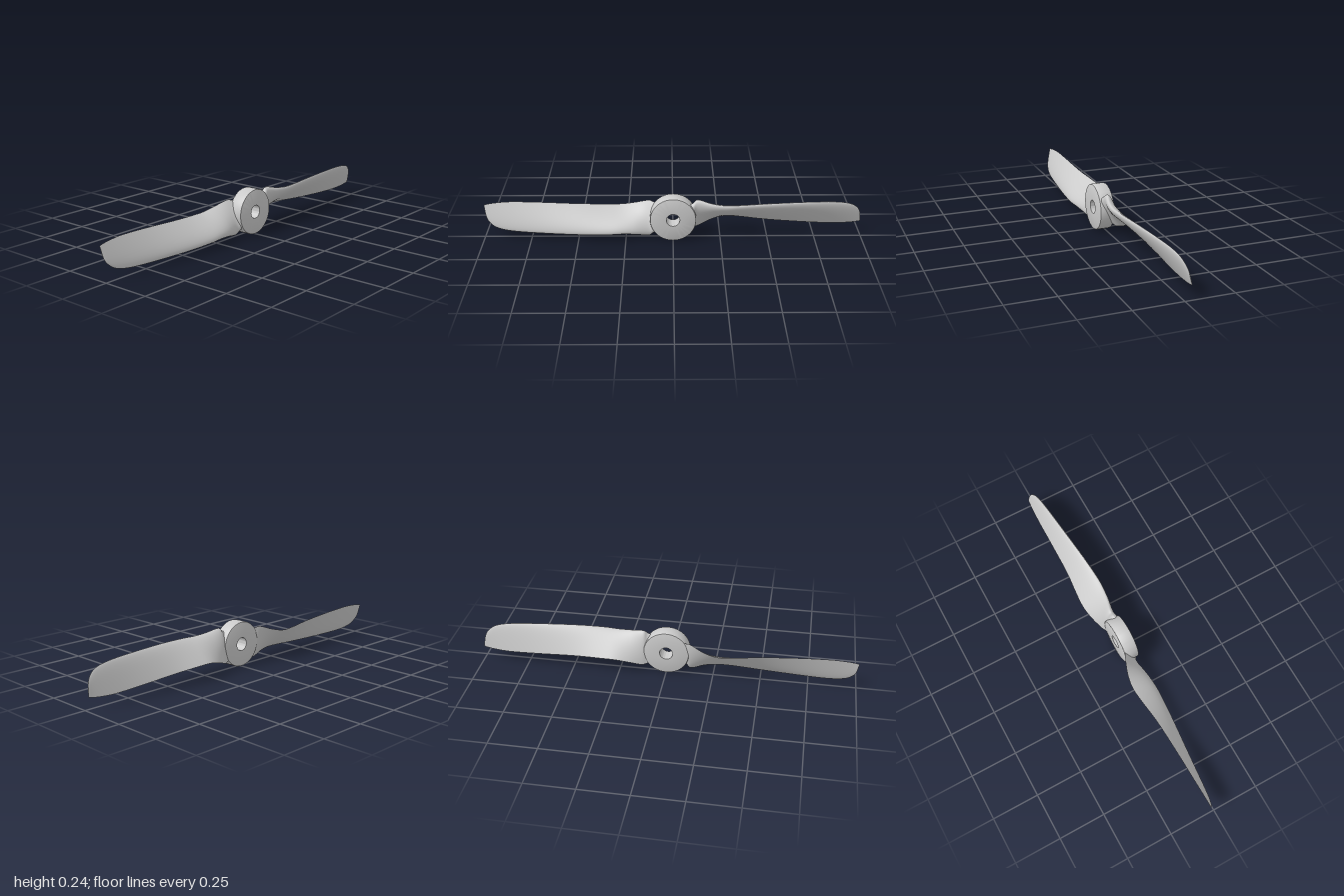
import * as THREE from 'three';
import { toCreasedNormals } from 'three/addons/utils/BufferGeometryUtils.js';

const CENTRE_Y = 0.122;
const material = new THREE.MeshStandardMaterial({ color: 0xcccccc, side: THREE.DoubleSide });

// Blade stations: x, leading edge y z, trailing edge y z, thickness
const STATIONS = [
  [0.04, 0.19, 0.03, 0.06, 0.0, 0.04],
  [0.1, 0.205, 0.03, 0.05, -0.02, 0.045],
  [0.13, 0.225, 0.024, 0.046, -0.033, 0.044],
  [0.2, 0.21, 0.044, 0.07, -0.058, 0.04],
  [0.27, 0.203, 0.055, 0.085, -0.07, 0.036],
  [0.35, 0.206, 0.057, 0.084, -0.066, 0.032],
  [0.5, 0.211, 0.045, 0.074, -0.05, 0.028],
  [0.7, 0.211, 0.025, 0.062, -0.043, 0.022],
  [0.85, 0.206, 0.01, 0.057, -0.04, 0.018],
  [0.93, 0.192, 0.0, 0.061, -0.037, 0.014],
  [0.97, 0.167, -0.01, 0.066, -0.035, 0.01],
  [0.99, 0.135, -0.02, 0.07, -0.034, 0.006],
  [1.0, 0.078, -0.032, 0.073, -0.033, 0],
];

// Half thickness of a rounded-nose aerofoil, s = 0 at the nose and 1 at the tail
const foil = (s) =>
  5 * (0.2969 * Math.sqrt(s) - 0.126 * s - 0.3516 * s ** 2 + 0.2843 * s ** 3 - 0.1036 * s ** 4);

// Twisted blade: aerofoil sections lofted along x
function bladeGeometry(rows = 84, around = 36) {
  const spline = (pick) => new THREE.CatmullRomCurve3(
    STATIONS.map((s) => new THREE.Vector3(...pick(s))), false, 'catmullrom', 0.5);
  const lead = spline((s) => [s[0], s[1], s[2]]);
  const trail = spline((s) => [s[0], s[3], s[4]]);
  const thick = spline((s) => [s[0], s[5], 0]);
  const positions = [], index = [];

  for (let i = 0; i <= rows; i++) {
    const l = lead.getPoint(i / rows), t = trail.getPoint(i / rows);
    const depth = Math.max(0, thick.getPoint(i / rows).y);
    const cy = t.y - l.y, cz = t.z - l.z, len = Math.hypot(cy, cz) || 1;
    const ny = cz / len, nz = -cy / len; // towards the cambered front face
    for (let j = 0; j <= around; j++) {
      const a = (j / around) * Math.PI * 2;
      const s = (1 + Math.cos(a)) / 2;
      const off = depth * foil(s) * (j <= around / 2 ? 1.25 : -0.75);
      positions.push(l.x, l.y + cy * s + ny * off - CENTRE_Y, l.z + cz * s + nz * off);
    }
  }
  const ring = around + 1;
  for (let i = 0; i < rows; i++) {
    for (let j = 0; j < around; j++) {
      const a = i * ring + j, b = a + 1, c = a + ring, d = c + 1;
      index.push(a, c, b, b, c, d);
    }
  }
  const geometry = new THREE.BufferGeometry();
  geometry.setAttribute('position', new THREE.Float32BufferAttribute(positions, 3));
  geometry.setIndex(index);
  geometry.computeVertexNormals();
  return geometry;
}

// Hub: bored disc with softened rims
function hubGeometry() {
  const R = 0.121, bore = 0.035, back = -0.021, front = 0.055, b = 0.006;
  const profile = [
    [bore, back], [R - b, back], [R - b * 0.3, back + b * 0.3], [R, back + b],
    [R, front - b], [R - b * 0.3, front - b * 0.3], [R - b, front],
    [bore, front], [bore, back],
  ].map(([x, y]) => new THREE.Vector2(x, y));
  const geometry = new THREE.LatheGeometry(profile, 64);
  geometry.rotateX(Math.PI / 2);
  return toCreasedNormals(geometry, 0.6);
}

export function createModel() {
  const propeller = new THREE.Group();
  propeller.name = 'propeller';
  propeller.position.y = CENTRE_Y;

  const hub = new THREE.Mesh(hubGeometry(), material);
  hub.name = 'hub';
  propeller.add(hub);

  // Two blades, half a turn apart about the hub axis
  const blade = bladeGeometry();
  ['leftBlade', 'rightBlade'].forEach((name, i) => {
    const mesh = new THREE.Mesh(blade, material);
    mesh.name = name;
    mesh.rotation.z = i * Math.PI;
    propeller.add(mesh);
  });

  const model = new THREE.Group();
  model.add(propeller);
  return model;
}
